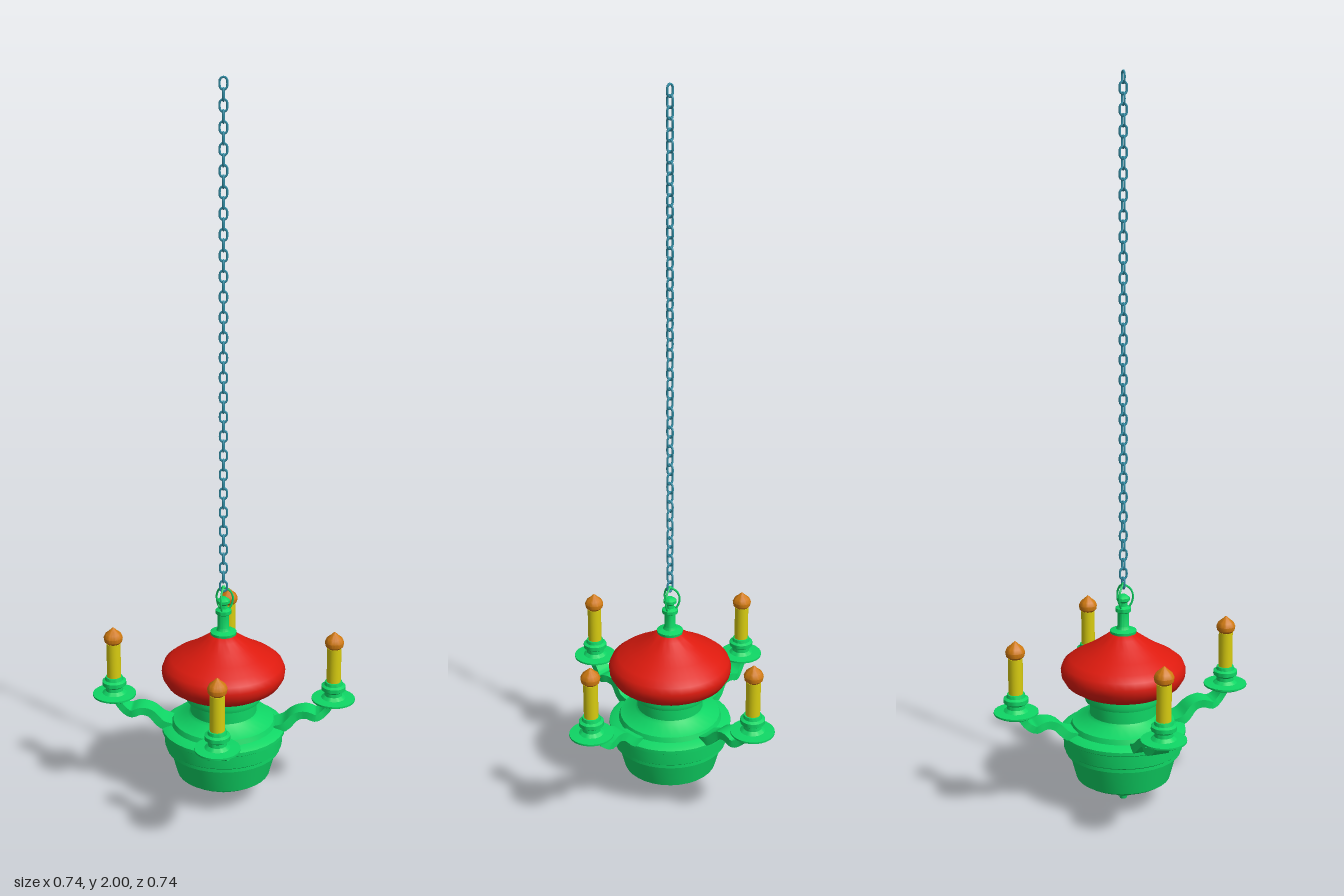
import * as THREE from 'three';
import { toCreasedNormals } from 'three/addons/utils/BufferGeometryUtils.js';

const material = (color) => new THREE.MeshStandardMaterial({ color, side: THREE.DoubleSide });
const green = material(0x0fd665);
const red = material(0xdd1a0e);
const yellow = material(0xd8cc10);
const orange = material(0xd07a10);
const blue = material(0x3390a8);

function part(name, geometry, mat, parent) {
  const mesh = new THREE.Mesh(geometry, mat);
  mesh.name = name;
  parent.add(mesh);
  return mesh;
}

// Turned shape from [radius, height] pairs, listed bottom to top
function turned(points, segments = 32) {
  const profile = points.map(([r, y]) => new THREE.Vector2(r, y));
  return toCreasedNormals(new THREE.LatheGeometry(profile, segments), 0.6);
}

// Flat S-shaped arm: a box bent along a curve, with varying width
function armGeometry() {
  const curve = new THREE.CatmullRomCurve3([
    [0.14, 0.215], [0.175, 0.228], [0.205, 0.256], [0.235, 0.263],
    [0.262, 0.255], [0.285, 0.268], [0.305, 0.297],
  ].map(([x, y]) => new THREE.Vector3(x, y, 0)));
  const geometry = new THREE.BoxGeometry(1, 1, 1, 20, 1, 1);
  const pos = geometry.attributes.position;
  for (let i = 0; i < pos.count; i++) {
    const t = THREE.MathUtils.clamp(pos.getX(i) + 0.5, 0, 1);
    const p = curve.getPoint(t);
    const tan = curve.getTangent(t);
    const thick = pos.getY(i) * (0.026 - 0.008 * t);
    const width = pos.getZ(i) * (0.062 + 0.007 * Math.cos(t * Math.PI * 4 - 1.5) - 0.016 * t * t);
    pos.setXYZ(i, p.x - tan.y * thick, p.y + tan.x * thick, width);
  }
  return toCreasedNormals(geometry, 0.7);
}

// Oval chain link standing upright in the xy plane
function linkGeometry(halfWidth, halfHeight, wire) {
  const path = new THREE.CurvePath();
  const straight = halfHeight - halfWidth;
  const points = [];
  for (let i = 0; i < 16; i++) {
    const a = ((i + 0.5) / 16) * Math.PI * 2;
    points.push(new THREE.Vector3(
      Math.cos(a) * halfWidth, Math.sin(a) * halfWidth + Math.sign(Math.sin(a)) * straight, 0));
  }
  return new THREE.TubeGeometry(new THREE.CatmullRomCurve3(points, true), 20, wire, 6, true);
}

export function createModel() {
  const model = new THREE.Group();
  model.name = 'chandelier';

  // Bowl, shoulder and neck
  part('body', turned([
    [0, 0], [0.01, 0.002], [0.013, 0.015], [0.03, 0.02], [0.036, 0.03], [0.055, 0.042],
    [0.068, 0.052], [0.07, 0.062], [0.12, 0.066], [0.132, 0.074], [0.152, 0.148],
    [0.162, 0.15], [0.162, 0.16], [0.167, 0.164], [0.169, 0.2], [0.175, 0.204],
    [0.175, 0.214], [0.165, 0.219], [0.148, 0.224], [0.143, 0.238], [0.1, 0.254],
    [0.094, 0.262], [0.094, 0.296], [0.106, 0.301], [0.109, 0.312], [0.106, 0.33], [0, 0.332],
  ]), green, model);

  // Domed cap
  part('cap', turned([
    [0, 0.326], [0.105, 0.326], [0.135, 0.336], [0.16, 0.352], [0.172, 0.372], [0.174, 0.39],
    [0.167, 0.408], [0.148, 0.423], [0.115, 0.441], [0.08, 0.463], [0.05, 0.484],
    [0.032, 0.498], [0, 0.502],
  ], 40), red, model);

  // Stem with collars
  part('stem', turned([
    [0, 0.49], [0.036, 0.492], [0.037, 0.502], [0.02, 0.507], [0.016, 0.515], [0.016, 0.553],
    [0.022, 0.557], [0.022, 0.567], [0.012, 0.572], [0.011, 0.582], [0.018, 0.588],
    [0.018, 0.596], [0.008, 0.604], [0, 0.606],
  ], 24), green, model);

  // Three curved prongs that meet at the chain
  const prongCurve = new THREE.CatmullRomCurve3([
    [0.014, 0.565], [0.024, 0.582], [0.027, 0.602], [0.019, 0.621], [0.003, 0.633],
  ].map(([x, y]) => new THREE.Vector3(x, y, 0)));
  const prong = new THREE.TubeGeometry(prongCurve, 12, 0.003, 6);
  for (let i = 0; i < 3; i++) {
    part('hookProng', prong, green, model).rotation.y = 0.3 + (i * Math.PI * 2) / 3;
  }
  part('hookTip', new THREE.SphereGeometry(0.006, 12, 8), green, model).position.y = 0.633;

  // Four arms, each with a drip plate, candle and flame
  const arm = armGeometry();
  const holder = turned([
    [0, 0.28], [0.016, 0.283], [0.022, 0.292], [0.05, 0.295], [0.061, 0.301], [0.061, 0.306],
    [0.034, 0.308], [0.025, 0.316], [0.024, 0.326], [0.034, 0.333], [0.034, 0.344],
    [0.026, 0.348], [0.024, 0.357], [0, 0.358],
  ], 28);
  const candle = new THREE.CylinderGeometry(0.02, 0.02, 0.107, 20);
  const flame = turned([
    [0, 0.453], [0.015, 0.455], [0.025, 0.465], [0.027, 0.477], [0.022, 0.488],
    [0.011, 0.497], [0.004, 0.504], [0, 0.507],
  ], 20);
  for (let i = 0; i < 4; i++) {
    const branch = new THREE.Group();
    branch.name = 'candleArm';
    branch.rotation.y = (i * Math.PI) / 2;
    part('arm', arm, green, branch);
    part('candleHolder', holder, green, branch).position.x = 0.31;
    part('candle', candle, yellow, branch).position.set(0.31, 0.405, 0);
    part('flame', flame, orange, branch).position.x = 0.31;
    model.add(branch);
  }

  // Hanging chain of alternating links
  const chain = new THREE.Group();
  chain.name = 'chain';
  const count = 51;
  const halfHeight = 0.0185;
  const link = linkGeometry(0.0095, halfHeight - 0.0032, 0.0032);
  const top = 2 - halfHeight;
  const bottom = 0.637;
  for (let i = 0; i < count; i++) {
    const mesh = part('chainLink', link, blue, chain);
    mesh.position.y = top + ((bottom - top) * i) / (count - 1);
    mesh.rotation.y = i % 2 ? Math.PI / 2 : 0;
  }
  model.add(chain);

  return model;
}
